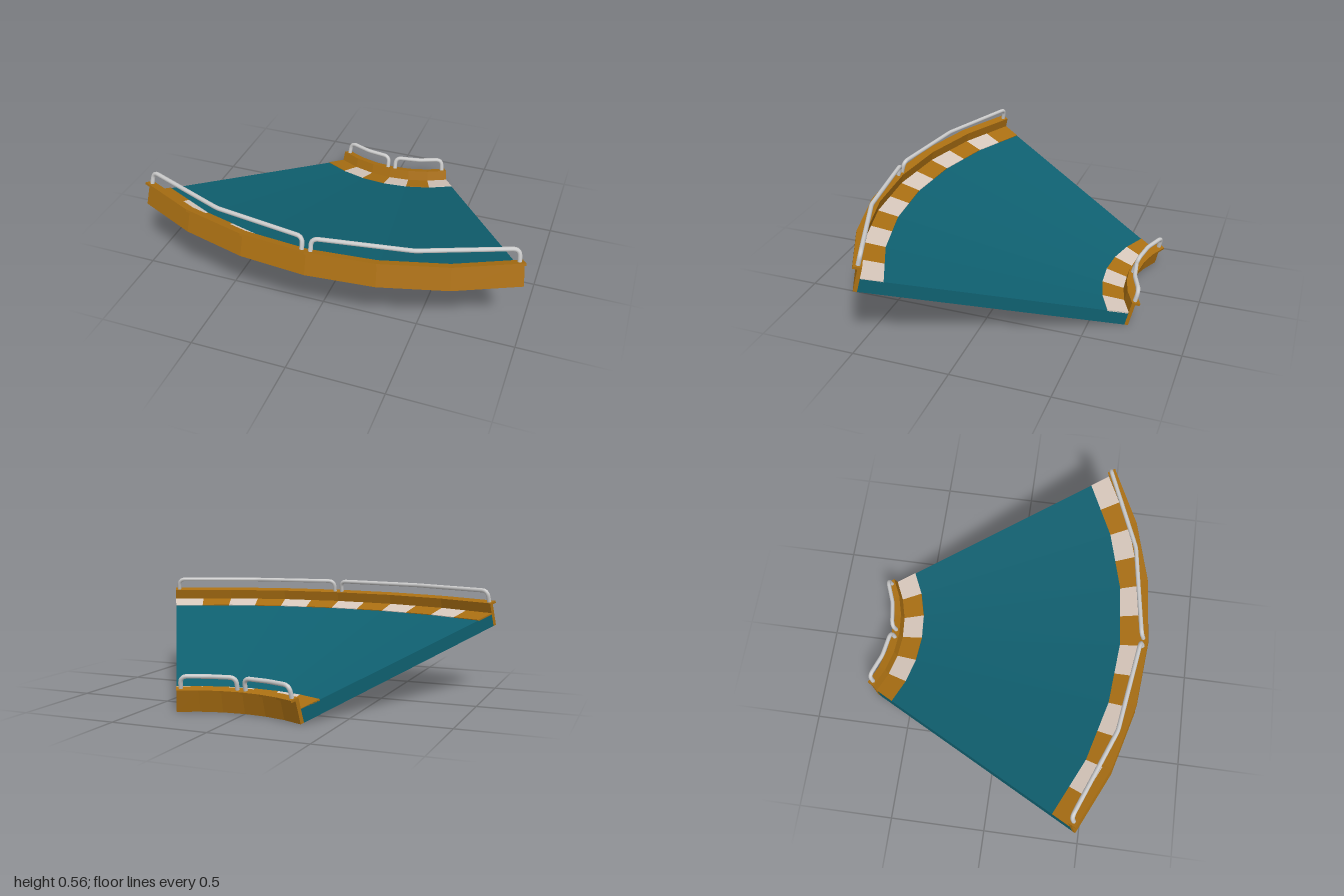
import * as THREE from 'three';

const rad = THREE.MathUtils.degToRad;
const BANK = rad(15), HALF = 30, STEP = 10;   // bank angle, half sweep and facet size in degrees
const R0 = 0.66, CENTRE_Z = -1.267;           // inner radius and arc centre
const U = 1.34 / Math.cos(BANK);              // width along the slope
const WALL = 0.02, DECK = 0.07, WALL_TOP = 0.118, LIP_TOP = 0.13;

const mat = (color) => new THREE.MeshStandardMaterial({ color });

// u runs outward along the banked slope, v is normal to it
function onArc(deg, u, v) {
  const r = R0 + u * Math.cos(BANK) - v * Math.sin(BANK);
  const y = u * Math.sin(BANK) + v * Math.cos(BANK);
  const a = rad(deg);
  return new THREE.Vector3(r * Math.sin(a), y, CENTRE_Z + r * Math.cos(a));
}

// Same, but lying on the straight facets between multiples of STEP
function place(deg, u, v) {
  const k = Math.min(Math.floor((deg + HALF) / STEP), 2 * HALF / STEP - 1);
  const a0 = k * STEP - HALF;
  return onArc(a0, u, v).lerp(onArc(a0 + STEP, u, v), (deg - a0) / STEP);
}

// Sweep a rectangular section round the arc, with closed ends
function sweep(u0, u1, v0, v1, from = -HALF, to = HALF) {
  const section = [[u0, v0], [u1, v0], [u1, v1], [u0, v1]];
  const pos = [];
  const quad = (a, b, c, d) => [a, b, c, a, c, d].forEach((p) => pos.push(p.x, p.y, p.z));
  const ring = (deg) => section.map(([u, v]) => place(deg, u, v));
  const steps = Math.max(1, Math.round((to - from) / STEP));
  const rings = [];
  for (let i = 0; i <= steps; i++) rings.push(ring(from + (to - from) * i / steps));
  for (let i = 0; i < steps; i++) {
    const a = rings[i], b = rings[i + 1];
    for (let j = 0; j < 4; j++) {
      const n = (j + 1) % 4;
      quad(a[j], b[j], b[n], a[n]);
    }
  }
  quad(...rings[0]);
  quad(...rings[steps].slice().reverse());
  const g = new THREE.BufferGeometry();
  g.setAttribute('position', new THREE.Float32BufferAttribute(pos, 3));
  g.computeVertexNormals();
  return g;
}

// Handrail: two legs with rounded corners and a top bar bent in the middle
function railGeometry(u, from, to) {
  const top = 0.194, bend = 0.035;
  const a = place(from, u, top), b = place(to, u, top), mid = place((from + to) / 2, u, top);
  const along = (p, q, d) => p.clone().add(q.clone().sub(p).setLength(d));
  const footA = place(from, u, WALL_TOP), footB = place(to, u, WALL_TOP);
  const a1 = along(a, footA, bend), a2 = along(a, mid, bend);
  const b1 = along(b, mid, bend), b2 = along(b, footB, bend);
  const m1 = along(mid, a, 0.02), m2 = along(mid, b, 0.02);
  const path = new THREE.CurvePath();
  path.add(new THREE.LineCurve3(footA, a1));
  path.add(new THREE.QuadraticBezierCurve3(a1, a, a2));
  path.add(new THREE.LineCurve3(a2, m1));
  path.add(new THREE.QuadraticBezierCurve3(m1, mid, m2));
  path.add(new THREE.LineCurve3(m2, b1));
  path.add(new THREE.QuadraticBezierCurve3(b1, b, b2));
  path.add(new THREE.LineCurve3(b2, footB));
  return new THREE.TubeGeometry(path, 120, 0.0115, 8);
}

export function createModel() {
  const model = new THREE.Group();
  const teal = mat(0x0f6070), orange = mat(0xaa6f12), cream = mat(0xd8c8bc), steel = mat(0xcccccc);
  const add = (name, geometry, material) => {
    const mesh = new THREE.Mesh(geometry, material);
    mesh.name = name;
    model.add(mesh);
  };

  // Banked road surface
  add('deck', sweep(WALL, U - WALL, 0, DECK), teal);

  // Each edge: wall, overhanging lip, chequered strip and two handrails
  const edges = [
    { name: 'inner', wall: [0, WALL], lip: [-0.025, WALL], strip: [WALL, 0.135], tiles: 6, rail: 0, gap: 2 },
    { name: 'outer', wall: [U - WALL, U], lip: [U - WALL, U + 0.025], strip: [U - 0.13, U - WALL], tiles: 12, rail: U, gap: 0.65 },
  ];
  for (const e of edges) {
    add(e.name + 'Wall', sweep(...e.wall, 0, WALL_TOP), orange);
    add(e.name + 'Lip', sweep(...e.lip, WALL_TOP, LIP_TOP), orange);
    const size = 2 * HALF / e.tiles;
    for (let i = 0; i < e.tiles; i++) {
      const from = i * size - HALF;
      add(e.name + 'Tile', sweep(...e.strip, DECK - 0.004, DECK + 0.004, from, from + size), i % 2 ? cream : orange);
    }
    for (const start of [-HALF, 0]) {
      add(e.name + 'Rail', railGeometry(e.rail, start + e.gap, start + HALF - e.gap), steel);
    }
  }
  return model;
}
